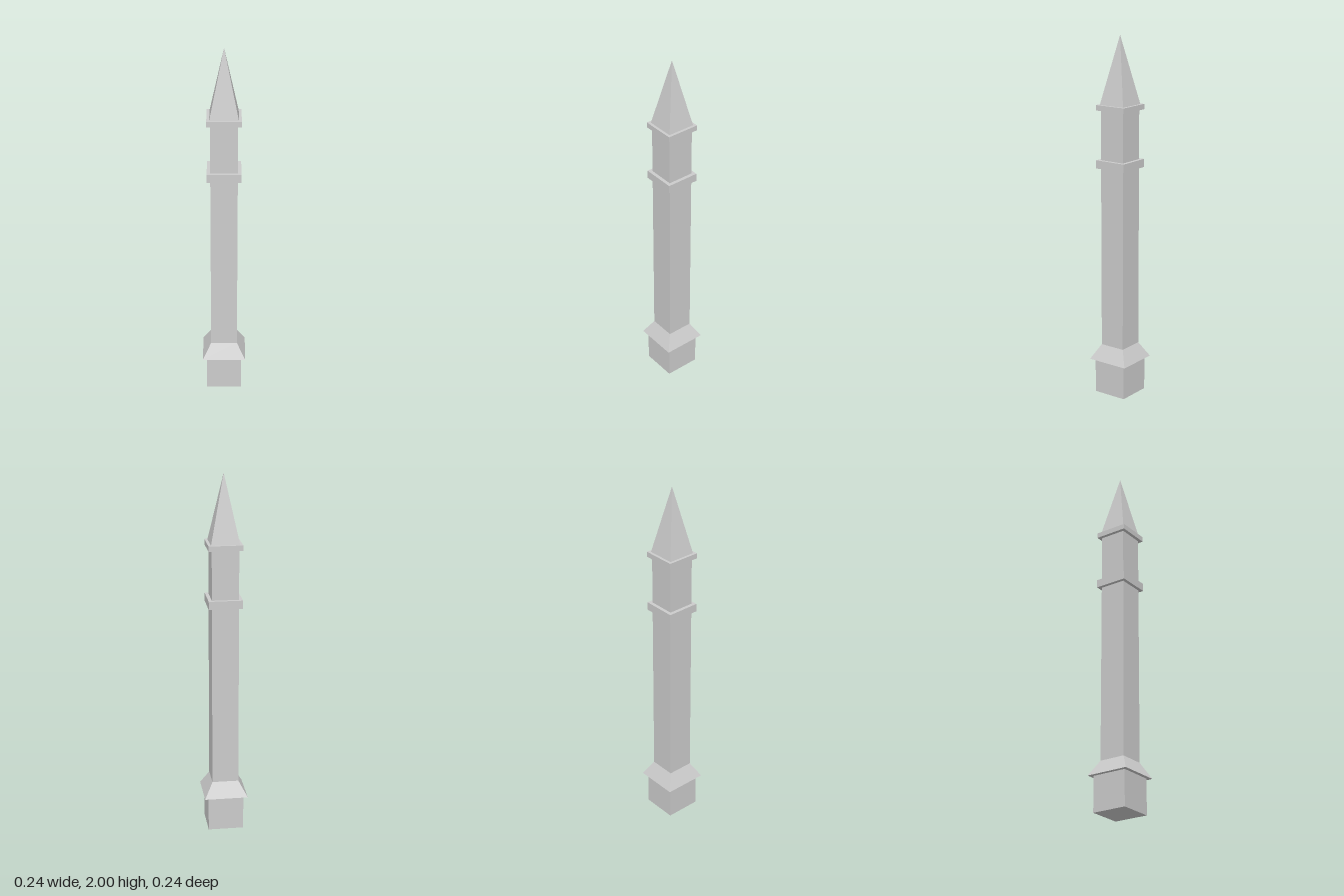
import * as THREE from 'three';

const material = new THREE.MeshStandardMaterial({ color: 0xcccccc, flatShading: true });

// Square section between two heights, with its own half width at each end
function squareSection(name, y0, y1, halfBottom, halfTop = halfBottom) {
  const geometry = new THREE.CylinderGeometry(
    halfTop * Math.SQRT2, halfBottom * Math.SQRT2, y1 - y0, 4, 1, false, Math.PI / 4);
  const mesh = new THREE.Mesh(geometry, material);
  mesh.name = name;
  mesh.position.y = (y0 + y1) / 2;
  return mesh;
}

export function createModel() {
  const group = new THREE.Group();
  group.name = 'squarePinnacle';
  group.add(
    // Base
    squareSection('plinth', 0, 0.196, 0.098),
    squareSection('slopedSkirt', 0.196, 0.28, 0.12, 0.073),
    // Pillar and its two projecting bands
    squareSection('shaft', 0.28, 1.288, 0.073),
    squareSection('lowerCollar', 1.288, 1.333, 0.092),
    squareSection('upperShaft', 1.333, 1.603, 0.073),
    squareSection('upperCollar', 1.603, 1.632, 0.092),
    // Pointed top
    squareSection('spire', 1.632, 2, 0.077, 0),
  );
  return group;
}
